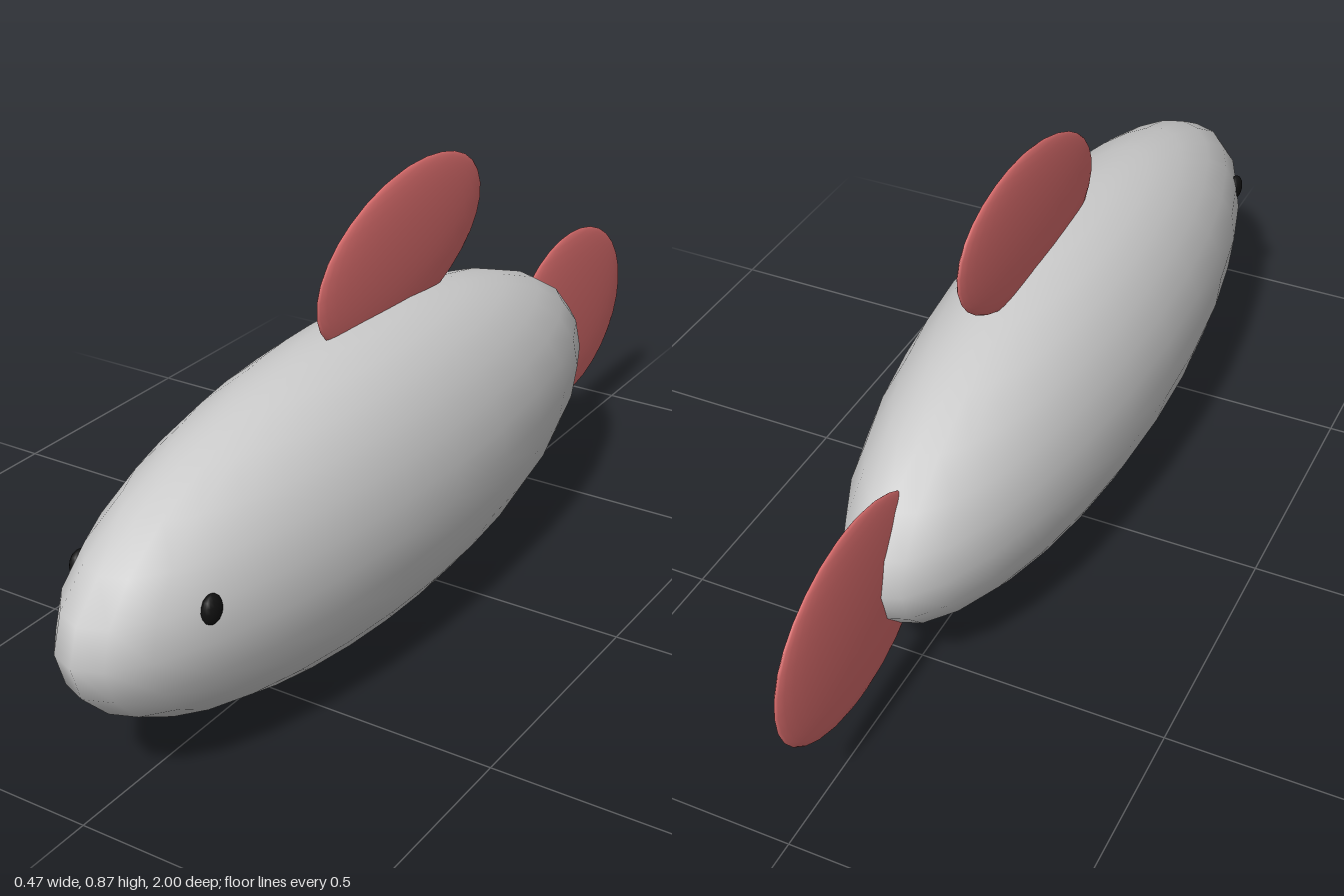
import * as THREE from 'three';

const bodyMaterial = new THREE.MeshStandardMaterial({ color: 0xcccccc });
const finMaterial = new THREE.MeshStandardMaterial({ color: 0xd96c6c });
const eyeMaterial = new THREE.MeshStandardMaterial({ color: 0x111111 });

// Smooth ellipsoid given by its three radii and its centre
function ellipsoid(name, material, radii, centre, segments = 28) {
  const geometry = new THREE.SphereGeometry(1, segments, segments / 2);
  geometry.scale(...radii);
  const mesh = new THREE.Mesh(geometry, material);
  mesh.name = name;
  mesh.position.set(...centre);
  return mesh;
}

export function createModel() {
  const fish = new THREE.Group();
  fish.name = 'fish';

  fish.add(ellipsoid('body', bodyMaterial, [0.237, 0.307, 0.84], [0, 0.308, 0.16]));

  // Thin disc-like fins; the back fin slopes up towards the tail
  fish.add(ellipsoid('tailFin', finMaterial, [0.02, 0.201, 0.266], [0, 0.312, -0.734], 32));
  const backFin = ellipsoid('backFin', finMaterial, [0.02, 0.153, 0.302], [0, 0.709, -0.015], 32);
  backFin.rotation.x = 0.16;
  fish.add(backFin);

  // Eyes, half sunk into the sides of the head
  for (const side of [-1, 1]) {
    const name = side > 0 ? 'leftEye' : 'rightEye';
    fish.add(ellipsoid(name, eyeMaterial, [0.015, 0.028, 0.024], [side * 0.14, 0.366, 0.805], 16));
  }

  return fish;
}
